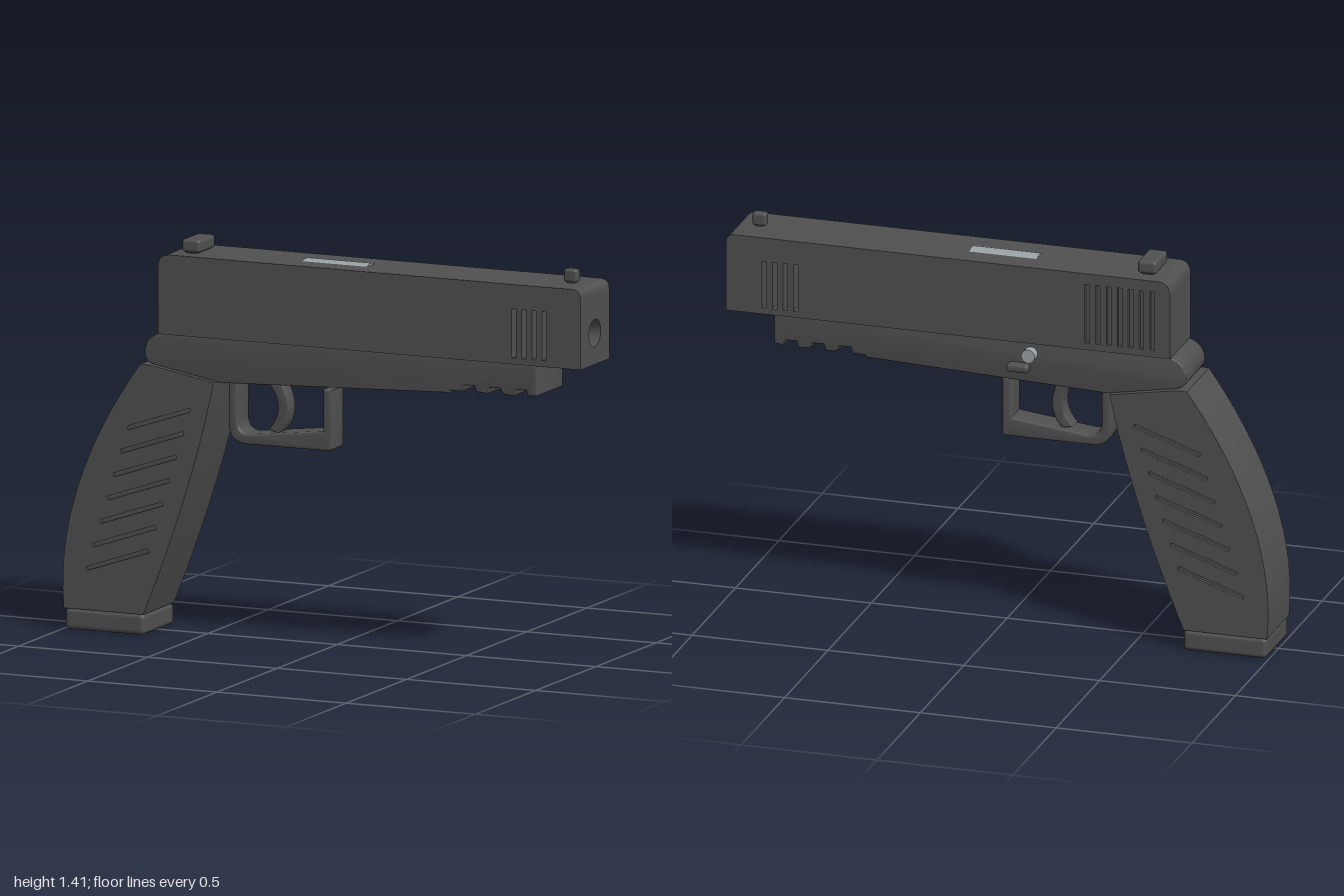
import * as THREE from 'three';
import { toCreasedNormals } from 'three/addons/utils/BufferGeometryUtils.js';
import { RoundedBoxGeometry } from 'three/addons/geometries/RoundedBoxGeometry.js';

const gunmetal = new THREE.MeshStandardMaterial({ color: 0x505051 });
gunmetal.name = 'gunmetal';
const steel = new THREE.MeshStandardMaterial({ color: 0x9aa2a6 });
steel.name = 'steel';

// Closed outline through corner points
const outline = (pts) => new THREE.Shape(pts.map(([x, y]) => new THREE.Vector2(x, y)));

// Slot of given length, width and tilt, centred on (x, y)
function slot(x, y, length, width, angle) {
  const c = Math.cos(angle), s = Math.sin(angle);
  return new THREE.Path([[-1, -1], [1, -1], [1, 1], [-1, 1]].map(([a, b]) => {
    const u = a * length / 2, v = b * width / 2;
    return new THREE.Vector2(x + u * c - v * s, y + u * s + v * c);
  }));
}

// Extrude a side profile between two depths, with an optional rounded rim
function plate(shape, z0, z1, bevel = 0) {
  const geo = new THREE.ExtrudeGeometry(shape, {
    depth: z1 - z0 - 2 * bevel, curveSegments: 16, bevelEnabled: bevel > 0,
    bevelSize: bevel, bevelOffset: -bevel, bevelThickness: bevel, bevelSegments: 3,
  });
  geo.translate(0, 0, z0 + bevel);
  return toCreasedNormals(geo, 0.6);
}

export function createModel() {
  const model = new THREE.Group();
  const body = new THREE.Group();
  body.name = 'body';
  body.position.z = 0.008;
  model.add(body);

  const add = (name, geo, mat = gunmetal) => {
    const mesh = new THREE.Mesh(geo, mat);
    mesh.name = name;
    body.add(mesh);
    return mesh;
  };
  const box = (name, x0, x1, y0, y1, z0, z1, r) => {
    const geo = new RoundedBoxGeometry(x1 - x0, y1 - y0, z1 - z0, 3, r);
    geo.translate((x0 + x1) / 2, (y0 + y1) / 2, (z0 + z1) / 2);
    return add(name, geo);
  };

  // Slide: profile with a notch at the front for the bored nose
  const slideShape = () => {
    const s = new THREE.Shape();
    s.moveTo(-0.635, 1.08);
    s.lineTo(0.9, 1.08);
    s.lineTo(0.9, 1.31);
    s.lineTo(1, 1.31);
    s.lineTo(1, 1.33);
    s.quadraticCurveTo(1, 1.365, 0.965, 1.365);
    s.lineTo(-0.59, 1.365);
    s.quadraticCurveTo(-0.635, 1.365, -0.635, 1.315);
    s.closePath();
    for (let i = 0; i < 4; i++) s.holes.push(slot(0.742 + i * 0.039, 1.19, 0.175, 0.016, Math.PI / 2));
    return s;
  };
  add('slide', plate(slideShape(), -0.105, 0.12));

  // Right side skin of the slide, with the rear grip serrations
  const skin = slideShape();
  for (let i = 0; i < 7; i++) skin.holes.push(slot(-0.57 + i * 0.04, 1.215, 0.22, 0.017, Math.PI / 2));
  add('slideSerrations', plate(skin, -0.12, -0.105));

  // Nose with the bore
  const nose = outline([[-0.12, 1.08], [0.12, 1.08], [0.12, 1.31], [-0.12, 1.31]]);
  const bore = new THREE.Path();
  bore.absarc(0, 1.192, 0.049, 0, Math.PI * 2, true);
  nose.holes.push(bore);
  const noseGeo = plate(nose, 0, 0.1);
  noseGeo.rotateY(Math.PI / 2);
  noseGeo.translate(0.9, 0, 0);
  add('nose', noseGeo);

  // Chamber showing through the top
  const chamber = new THREE.CylinderGeometry(0.075, 0.075, 0.25, 48);
  chamber.rotateZ(Math.PI / 2);
  chamber.translate(0.008, 1.297, 0);
  add('chamber', chamber, steel);

  // Sights
  box('rearSight', -0.568, -0.498, 1.368, 1.415, -0.068, 0.068, 0.012);
  box('rearSightFoot', -0.553, -0.513, 1.35, 1.38, -0.06, 0.06, 0.005);
  box('frontSight', 0.885, 0.937, 1.368, 1.415, -0.018, 0.018, 0.01);
  box('frontSightFoot', 0.897, 0.925, 1.35, 1.38, -0.014, 0.014, 0.004);

  // Frame with a rounded tail and a notched rail
  const frame = new THREE.Shape();
  frame.moveTo(0.825, 1.08);
  frame.lineTo(-0.635, 1.08);
  frame.bezierCurveTo(-0.665, 1.07, -0.69, 1.05, -0.692, 1.01);
  frame.bezierCurveTo(-0.692, 0.985, -0.68, 0.972, -0.65, 0.967);
  frame.lineTo(-0.4, 0.922);
  frame.lineTo(0.49, 0.957);
  frame.lineTo(0.49, 0.965);
  for (let i = 0; i < 3; i++) {
    const x = 0.535 + i * 0.1;
    for (const [dx, y] of [[0, 0.965], [0.008, 0.988], [0.05, 0.988], [0.058, 0.967]]) frame.lineTo(x + dx, y);
  }
  frame.lineTo(0.825, 0.972);
  frame.closePath();
  add('frame', plate(frame, -0.11, 0.11, 0.004));

  // Grip: solid core and two grooved side skins
  const gripShape = () => {
    const s = new THREE.Shape();
    s.moveTo(-0.995, 0.075);
    s.lineTo(-0.688, 0.075);
    s.quadraticCurveTo(-0.5, 0.53, -0.415, 0.925);
    s.lineTo(-0.66, 0.968);
    s.lineTo(-0.7, 0.968);
    s.bezierCurveTo(-0.85, 0.76, -1.03, 0.44, -0.995, 0.075);
    return s;
  };
  add('grip', plate(gripShape(), -0.115, 0.115));
  const grooved = gripShape();
  for (let i = 0; i < 7; i++) {
    grooved.holes.push(slot(-0.627 - i * 0.0268, 0.778 - i * 0.0858, 0.256, 0.014, 0.33));
  }
  add('gripLeftGrooves', plate(grooved, 0.115, 0.128));
  add('gripRightGrooves', plate(grooved, -0.128, -0.115));
  box('gripBase', -0.992, -0.686, 0, 0.075, -0.128, 0.128, 0.016);

  // Trigger guard: open hoop
  const guard = new THREE.Shape();
  guard.moveTo(-0.395, 0.925);
  guard.lineTo(-0.395, 0.77);
  guard.quadraticCurveTo(-0.395, 0.698, -0.325, 0.698);
  guard.lineTo(-0.01, 0.698);
  guard.quadraticCurveTo(0.006, 0.698, 0.006, 0.715);
  guard.lineTo(0.006, 0.917);
  guard.lineTo(-0.029, 0.917);
  guard.lineTo(-0.029, 0.768);
  guard.lineTo(-0.31, 0.735);
  guard.quadraticCurveTo(-0.36, 0.733, -0.36, 0.785);
  guard.lineTo(-0.36, 0.925);
  guard.closePath();
  add('triggerGuard', plate(guard, -0.05, 0.05, 0.008));

  // Trigger
  const trigger = new THREE.Shape();
  trigger.moveTo(-0.247, 0.925);
  trigger.lineTo(-0.2, 0.925);
  trigger.bezierCurveTo(-0.16, 0.86, -0.16, 0.79, -0.21, 0.742);
  trigger.lineTo(-0.25, 0.752);
  trigger.bezierCurveTo(-0.205, 0.8, -0.2, 0.86, -0.247, 0.915);
  trigger.closePath();
  add('trigger', plate(trigger, -0.03, 0.03, 0.006));

  // Controls on the right side
  const button = new THREE.CylinderGeometry(0.025, 0.025, 0.05, 24);
  button.rotateX(Math.PI / 2);
  button.translate(-0.12, 1.04, -0.119);
  add('releaseButton', button, steel);
  box('leverCatch', -0.118, -0.037, 0.972, 1.003, -0.142, -0.1, 0.012);

  return model;
}
